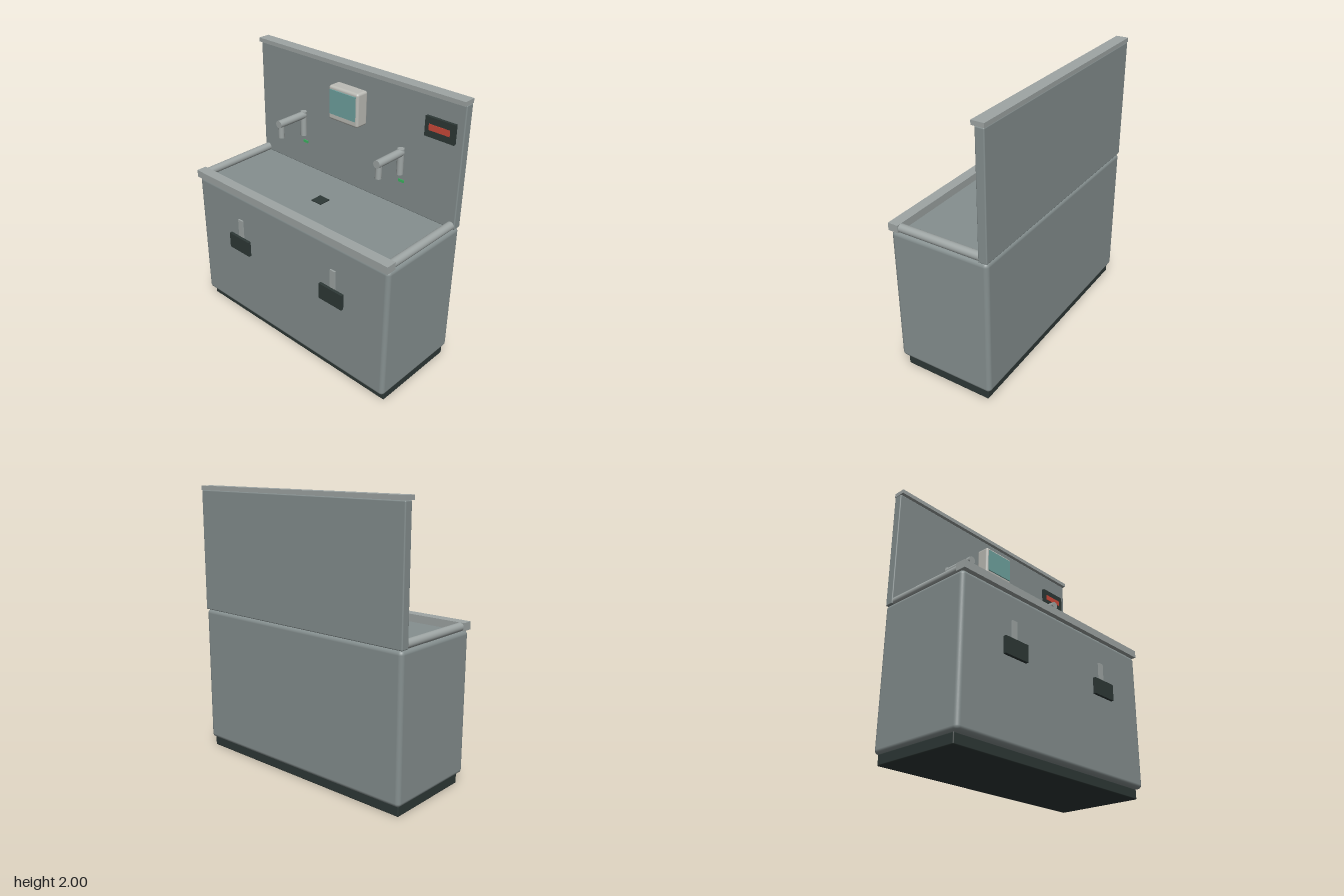
import * as THREE from 'three';
import { RoundedBoxGeometry } from 'three/addons/geometries/RoundedBoxGeometry.js';

const mat = (color) => new THREE.MeshStandardMaterial({ color });

export function createModel() {
  const model = new THREE.Group();
  const steel = mat(0x858f8f), trim = mat(0x9ea5a4), casing = mat(0xbcbcb6);
  const dark = mat(0x2e3836), glass = mat(0x6fa3a0), red = mat(0xcc4a3a), green = mat(0x3fb562);

  const add = (parent, name, geometry, material, x, y, z) => {
    const mesh = new THREE.Mesh(geometry, material);
    mesh.name = name;
    mesh.position.set(x, y, z);
    parent.add(mesh);
    return mesh;
  };
  // Box given by its min and max on each axis; r rounds its edges
  const box = (parent, name, material, [x0, x1], [y0, y1], [z0, z1], r = 0) => {
    const size = [x1 - x0, y1 - y0, z1 - z0];
    const geometry = r ? new RoundedBoxGeometry(...size, 4, r) : new THREE.BoxGeometry(...size);
    return add(parent, name, geometry, material, (x0 + x1) / 2, (y0 + y1) / 2, (z0 + z1) / 2);
  };
  const rod = (parent, name, material, r, length, x, y, z) =>
    add(parent, name, new THREE.CylinderGeometry(r, r, length, 24), material, x, y, z);

  // Cabinet on a recessed plinth
  box(model, 'plinth', dark, [-0.89, 0.89], [0, 0.075], [-0.36, 0.31], 0.008);
  box(model, 'cabinet', steel, [-0.91, 0.91], [0.07, 1.09], [-0.385, 0.355], 0.03);
  box(model, 'drain', dark, [-0.045, 0.045], [1.08, 1.097], [-0.045, 0.045]);

  // Back panel with its cap
  box(model, 'backPanel', steel, [-0.91, 0.91], [1.09, 1.97], [-0.385, -0.32], 0.008);
  box(model, 'panelCap', trim, [-0.91, 0.91], [1.97, 2], [-0.387, -0.297]);

  // Rim: square rail in front, round rails at the sides
  box(model, 'frontRail', trim, [-0.91, 0.91], [1.09, 1.145], [0.295, 0.372]);
  for (const s of [-1, 1])
    rod(model, 'sideRail', trim, 0.03, 0.63, s * 0.877, 1.115, -0.01).rotation.x = Math.PI / 2;

  // Screen unit and red display on the back panel
  const screenUnit = new THREE.Group();
  screenUnit.name = 'screenUnit';
  box(screenUnit, 'screenCase', casing, [-0.135, 0.132], [1.608, 1.855], [-0.325, -0.22], 0.018);
  box(screenUnit, 'screen', glass, [-0.117, 0.114], [1.655, 1.832], [-0.23, -0.212]);
  const display = new THREE.Group();
  display.name = 'display';
  box(display, 'displayCase', dark, [0.628, 0.855], [1.695, 1.832], [-0.325, -0.298]);
  box(display, 'displayReadout', red, [0.66, 0.82], [1.743, 1.786], [-0.3, -0.295]);
  model.add(screenUnit, display);

  // Two stations, each with a tap, a sensor light and a knee pad
  for (const s of [-1, 1]) {
    const station = new THREE.Group();
    station.name = s > 0 ? 'leftStation' : 'rightStation';
    station.position.x = s * 0.455;
    rod(station, 'tapPost', trim, 0.024, 0.19, 0, 1.45, -0.297);
    rod(station, 'tapArm', trim, 0.028, 0.255, 0, 1.517, -0.172).rotation.x = Math.PI / 2;
    rod(station, 'tapSpout', trim, 0.023, 0.09, 0, 1.455, -0.069);
    box(station, 'sensorLight', green, [-0.023, 0.023], [1.285, 1.305], [-0.322, -0.314]);
    box(station, 'padStem', trim, [-0.022, 0.022], [0.715, 0.895], [0.35, 0.367]);
    box(station, 'kneePad', dark, [-0.103, 0.103], [0.635, 0.755], [0.366, 0.388]);
    model.add(station);
  }
  return model;
}
